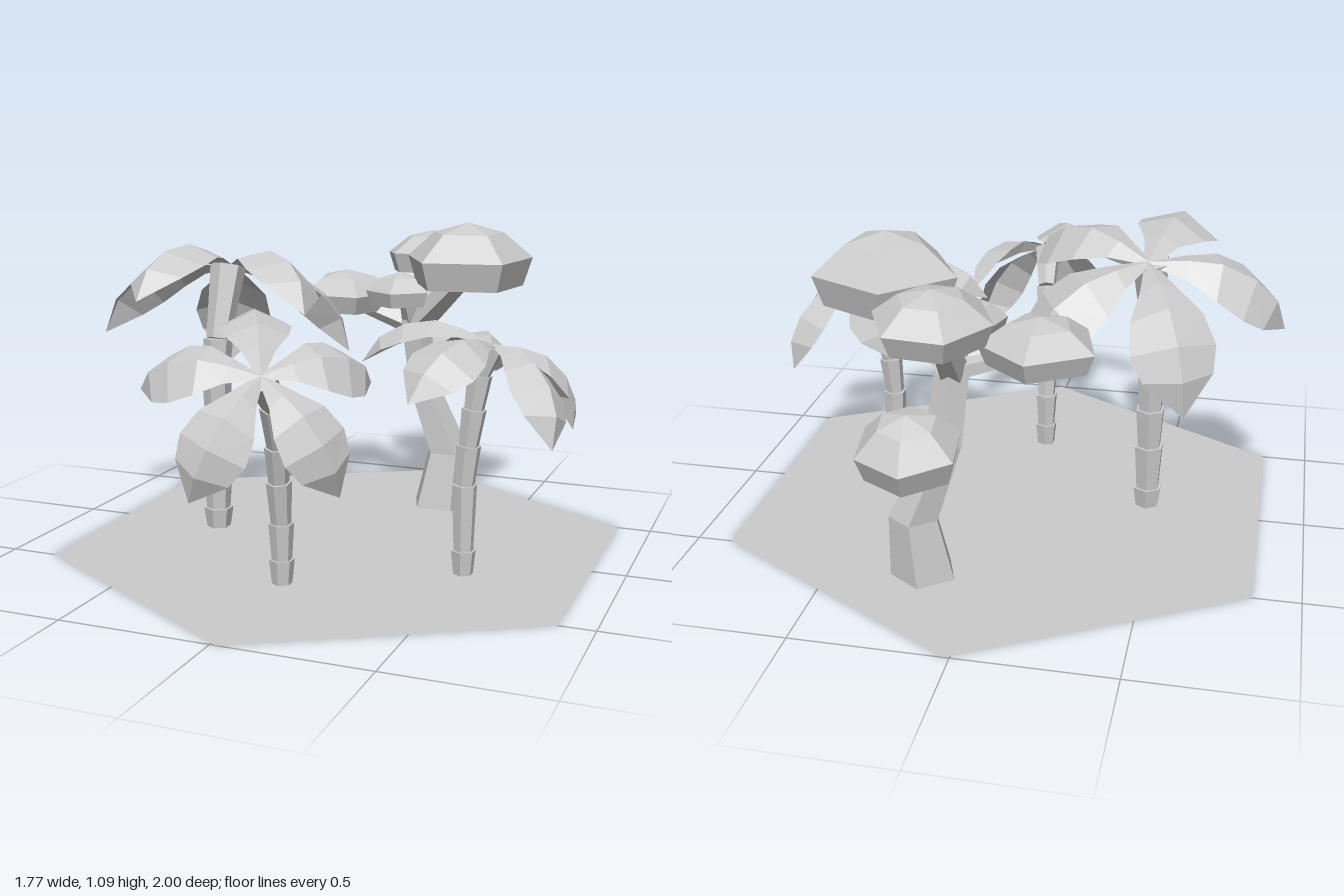
import * as THREE from 'three';

const DEG = Math.PI / 180;
const material = new THREE.MeshStandardMaterial({ color: 0xcccccc, flatShading: true, side: THREE.DoubleSide });
const vec = (p) => new THREE.Vector3(p[0], p[1], p[2]);

function addMesh(parent, geometry, name) {
  const mesh = new THREE.Mesh(geometry, material);
  mesh.name = name;
  parent.add(mesh);
  return mesh;
}

// Tapered round piece running from point a to point b
function limb(parent, name, a, b, rA, rB, sides) {
  const from = vec(a), to = vec(b), dir = to.clone().sub(from);
  const mesh = addMesh(parent, new THREE.CylinderGeometry(rB, rA, dir.length(), sides), name);
  mesh.position.copy(from).add(to).multiplyScalar(0.5);
  mesh.quaternion.setFromUnitVectors(new THREE.Vector3(0, 1, 0), dir.normalize());
}

// Surface through rows of points, each row having the same count
function loft(rows) {
  const n = rows[0].length, index = [];
  for (let i = 0; i < rows.length - 1; i++) {
    for (let j = 0; j < n - 1; j++) {
      const a = i * n + j, b = a + n;
      index.push(a, b, a + 1, a + 1, b, b + 1);
    }
  }
  const geometry = new THREE.BufferGeometry();
  geometry.setAttribute('position', new THREE.Float32BufferAttribute(rows.flat(2), 3));
  geometry.setIndex(index);
  geometry.computeVertexNormals();
  return geometry;
}

// Drooping leaf, creased along its ridge: reach, height, half width
function leafGeometry() {
  const stations = [
    [0, 0, 0.012], [0.12, 0.015, 0.06], [0.23, 0.01, 0.115],
    [0.34, -0.045, 0.135], [0.415, -0.125, 0.11], [0.45, -0.24, 0],
  ];
  const rows = stations.map(([x, y, w], i) => {
    const p = stations[Math.max(i - 1, 0)], q = stations[Math.min(i + 1, stations.length - 1)];
    const tx = q[0] - p[0], ty = q[1] - p[1], len = Math.hypot(tx, ty);
    const drop = w * 0.48;
    const ex = x + (ty / len) * drop, ey = y - (tx / len) * drop;
    return [[ex, ey, w], [x, y, 0], [ex, ey, -w]];
  });
  return loft(rows);
}

// Palm: stacked flared trunk rings with a tilted crown of five leaves
function palm(name, { path, radius, crown, scale, tilt, roll }) {
  const group = new THREE.Group();
  group.name = name;
  for (let i = 0; i < path.length - 1; i++) {
    const last = i === path.length - 2;
    limb(group, 'trunkSegment', path[i], path[i + 1], radius, radius * (last ? 1.5 : 1.25), 6);
  }
  const head = new THREE.Group();
  head.name = 'crown';
  head.position.copy(vec(crown));
  head.rotation.set(tilt * DEG, 0, roll * DEG);
  head.scale.setScalar(scale);
  const geometry = leafGeometry();
  for (let i = 0; i < 5; i++) {
    addMesh(head, geometry, 'leaf').rotation.y = -(32 + 72 * i) * DEG;
  }
  group.add(head);
  return group;
}

// Faceted foliage clump with a flat underside
function clump(parent, { at, radius, height, sides, phase, tilt = 0 }) {
  const profile = [[0, 0.06], [0.86, 0], [1, 0.44], [0.55, 0.84], [0, 1]]
    .map(([r, y]) => new THREE.Vector2(r * radius, y * height));
  const geometry = new THREE.LatheGeometry(profile, sides, Math.PI / 2 - phase * DEG);
  const mesh = addMesh(parent, geometry, 'foliageClump');
  mesh.position.copy(vec(at));
  mesh.rotation.x = tilt * DEG;
}

// Crooked tree with a bent trunk, branches and foliage clumps
function crookedTree() {
  const group = new THREE.Group();
  group.name = 'crookedTree';
  const rings = [
    [0.195, 0, -0.555, 0.11], [0.22, 0.21, -0.565, 0.083],
    [0.125, 0.46, -0.54, 0.062], [0.1, 0.72, -0.5, 0.058],
  ].map(([x, y, z, r]) => Array.from({ length: 6 }, (_, i) => {
    const a = -(i * 72 + 20) * DEG;
    return [x + r * Math.cos(a), y, z + r * Math.sin(a)];
  }));
  addMesh(group, loft(rings), 'trunk');

  const fork = [0.1, 0.69, -0.505];
  const branches = [
    [fork, [0.3, 0.88, -0.41], 0.055, 0.04],
    [fork, [0.1, 0.9, -0.69], 0.052, 0.036],
    [fork, [-0.14, 0.77, -0.51], 0.036, 0.026],
    [fork, [0.09, 0.82, -0.43], 0.042, 0.026],
    [[0.14, 0.42, -0.545], [0.19, 0.5, -0.69], 0.03, 0.022],
  ];
  for (const [a, b, rA, rB] of branches) limb(group, 'branch', a, b, rA, rB, 5);

  const clumps = [
    { at: [0.335, 0.865, -0.39], radius: 0.235, height: 0.225, sides: 5, phase: -28 },
    { at: [0.105, 0.87, -0.71], radius: 0.185, height: 0.16, sides: 6, phase: 5, tilt: -4 },
    { at: [0.185, 0.455, -0.71], radius: 0.17, height: 0.19, sides: 6, phase: 25, tilt: -10 },
    { at: [-0.17, 0.74, -0.51], radius: 0.19, height: 0.15, sides: 5, phase: -14 },
    { at: [0.07, 0.78, -0.42], radius: 0.122, height: 0.12, sides: 5, phase: 15 },
  ];
  clumps.forEach((c) => clump(group, c));
  return group;
}

export function createModel() {
  const model = new THREE.Group();
  model.name = 'palmGrove';

  // Flat hexagonal ground
  const ground = addMesh(model, new THREE.CircleGeometry(1, 6, Math.PI / 2), 'ground');
  ground.rotation.x = -Math.PI / 2;
  ground.position.x = 0.02;

  model.add(palm('tallPalm', {
    path: [[-0.455, 0.01, 0.03], [-0.455, 0.08, 0.03], [-0.455, 0.24, 0.027], [-0.455, 0.38, 0.025],
      [-0.455, 0.55, 0.025], [-0.452, 0.69, 0.015], [-0.445, 0.94, -0.06]],
    radius: 0.042, crown: [-0.44, 0.94, -0.08], scale: 1.03, tilt: -22, roll: 4,
  }));
  model.add(palm('leaningPalm', {
    path: [[-0.012, 0, 0.467], [-0.012, 0.08, 0.467], [-0.012, 0.2, 0.47], [-0.01, 0.34, 0.49],
      [-0.003, 0.46, 0.515], [0.01, 0.6, 0.575], [0.028, 0.71, 0.69]],
    radius: 0.033, crown: [0.03, 0.72, 0.7], scale: 0.83, tilt: 38, roll: -18,
  }));
  model.add(palm('sidePalm', {
    path: [[0.5, 0, 0.17], [0.5, 0.08, 0.17], [0.5, 0.3, 0.17], [0.51, 0.43, 0.167],
      [0.525, 0.55, 0.165], [0.54, 0.66, 0.16], [0.57, 0.76, 0.15]],
    radius: 0.033, crown: [0.575, 0.76, 0.15], scale: 0.85, tilt: -6, roll: -17,
  }));

  model.add(crookedTree());
  return model;
}
